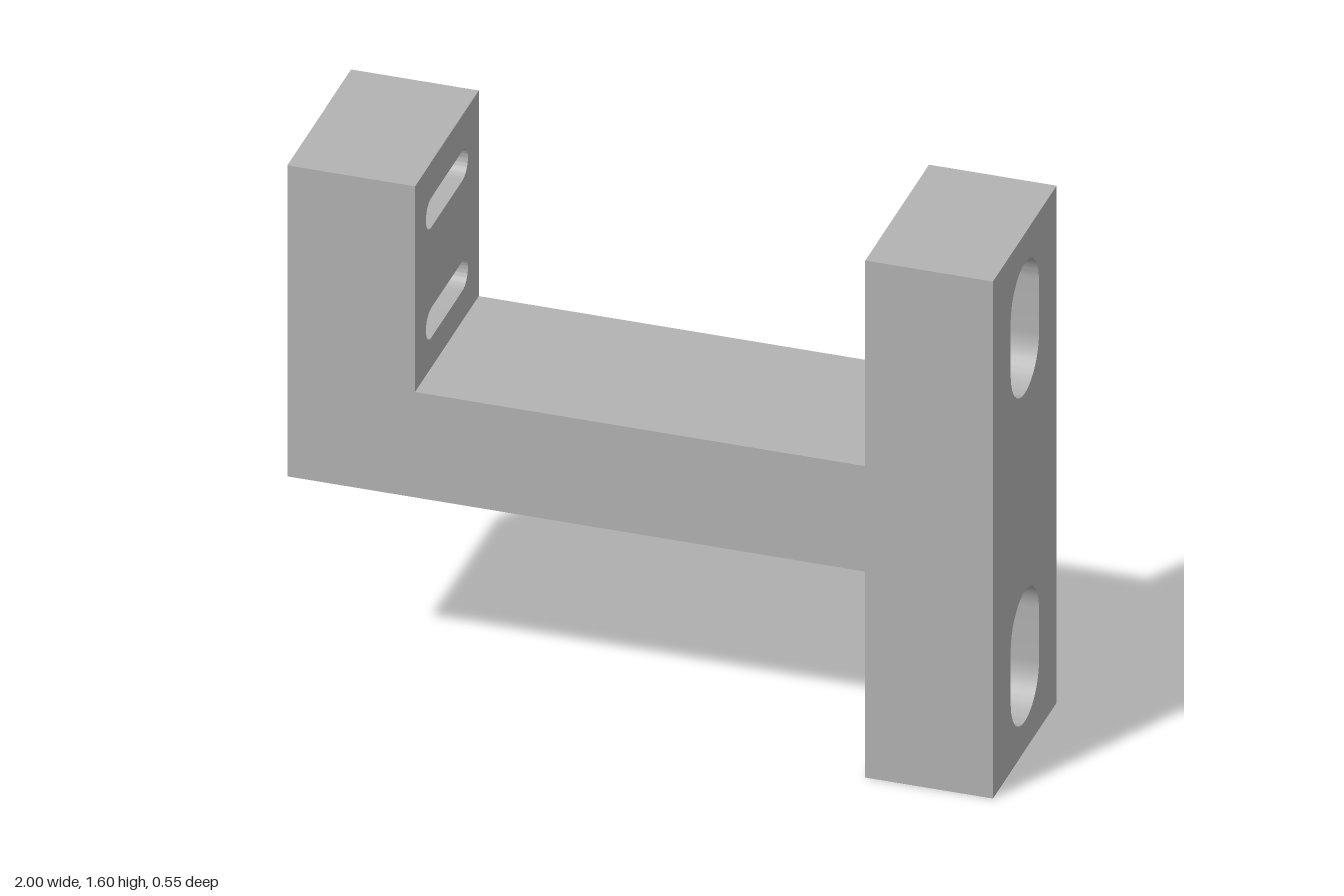
import * as THREE from 'three';
import { toCreasedNormals } from 'three/addons/utils/BufferGeometryUtils.js';

const HALF_DEPTH = 0.273; // half size along z
const THICK = 0.362;      // post size along x

// Rounded slot outline centred at (0, cy); half sizes a (across) and b (up)
function slot(cy, a, b) {
  const path = new THREE.Path();
  const r = Math.min(a, b);
  const dx = a - r, dy = b - r;
  if (dy > 0) {
    path.absarc(0, cy + dy, r, 0, Math.PI, false);
    path.absarc(0, cy - dy, r, Math.PI, 2 * Math.PI, false);
  } else {
    path.absarc(dx, cy, r, -Math.PI / 2, Math.PI / 2, false);
    path.absarc(-dx, cy, r, Math.PI / 2, 1.5 * Math.PI, false);
  }
  path.closePath();
  return path;
}

// Upright block with slots running through it along x
function post(name, x0, y0, y1, holes, material) {
  const shape = new THREE.Shape();
  shape.moveTo(-HALF_DEPTH, y0);
  shape.lineTo(HALF_DEPTH, y0);
  shape.lineTo(HALF_DEPTH, y1);
  shape.lineTo(-HALF_DEPTH, y1);
  shape.closePath();
  shape.holes.push(...holes);
  const extruded = new THREE.ExtrudeGeometry(shape, { depth: THICK, bevelEnabled: false, curveSegments: 20 });
  extruded.rotateY(Math.PI / 2);
  extruded.translate(x0, 0, 0);
  const mesh = new THREE.Mesh(toCreasedNormals(extruded, 0.6), material);
  mesh.name = name;
  return mesh;
}

export function createModel() {
  const group = new THREE.Group();
  group.name = 'bracket';
  const grey = new THREE.MeshStandardMaterial({ color: 0xb2b2b2 });
  grey.name = 'plain grey';

  // Tall mounting post with two upright slots
  const upright = [0.293, 1.311].map((y) => slot(y, 0.121, 0.202));
  group.add(post('tallPost', 1 - THICK, 0, 1.604, upright, grey));

  // Short post with two level slots
  const level = [1.105, 1.447].map((y) => slot(y, 0.18, 0.046));
  group.add(post('shortPost', -1, 0.639, 1.604, level, grey));

  // Bar joining the posts
  const length = 2 - 2 * THICK;
  const bar = new THREE.Mesh(new THREE.BoxGeometry(length, 0.327, 2 * HALF_DEPTH), grey);
  bar.position.y = 0.639 + 0.327 / 2;
  bar.name = 'crossBar';
  group.add(bar);

  return group;
}
